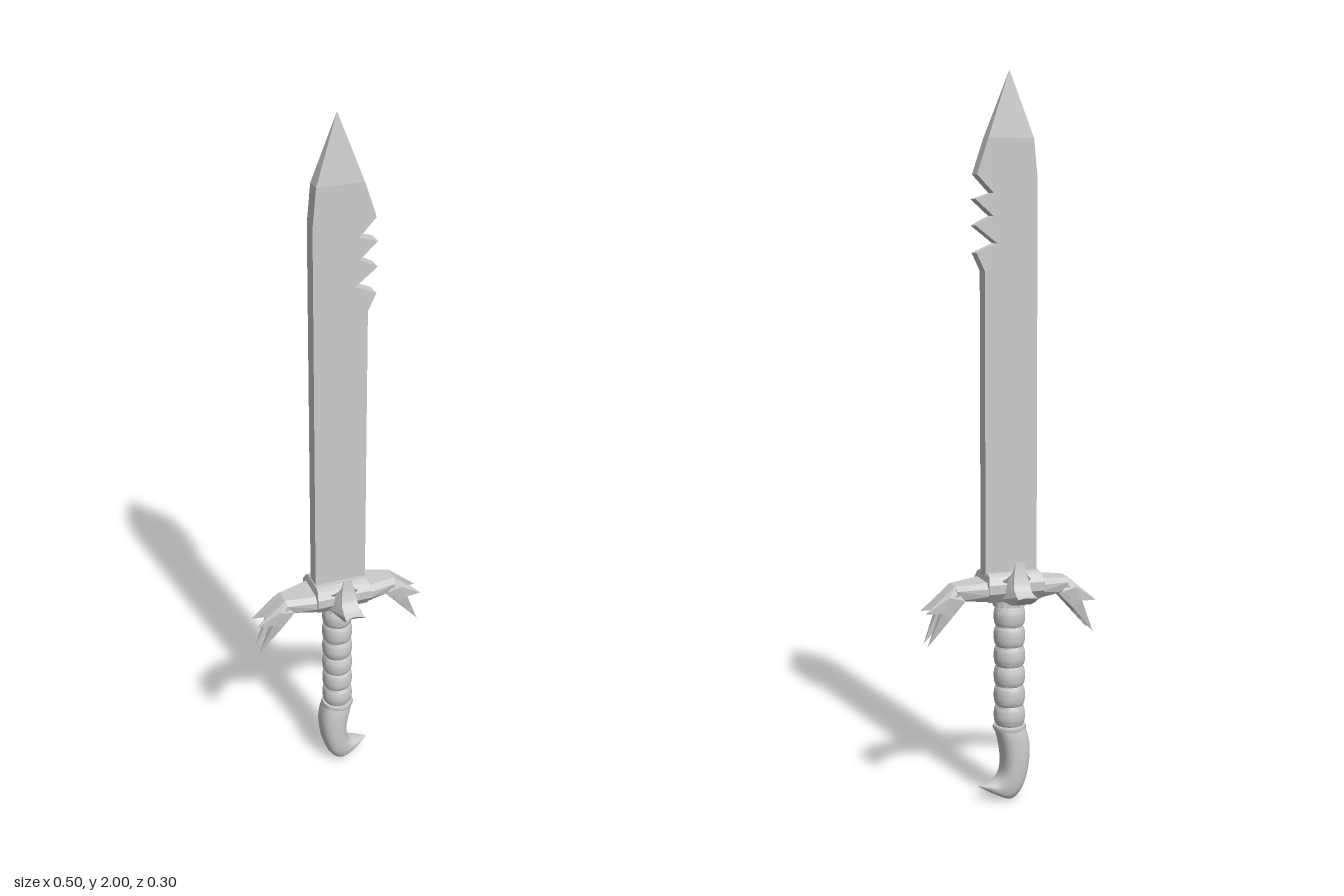
import * as THREE from 'three';
import { toCreasedNormals } from 'three/addons/utils/BufferGeometryUtils.js';
import { ConvexGeometry } from 'three/addons/geometries/ConvexGeometry.js';

const grey = new THREE.MeshStandardMaterial({ color: 0xcccccc });
const V = (x, y, z) => new THREE.Vector3(x, y, z);

function add(parent, name, geometry) {
  const mesh = new THREE.Mesh(geometry, grey);
  mesh.name = name;
  parent.add(mesh);
  return mesh;
}

// Skin over closed rings of points; the last ring may shrink to a tip
function loft(rings) {
  const n = rings[0].length, index = [];
  for (let i = 0; i < rings.length - 1; i++) {
    for (let j = 0; j < n; j++) {
      const a = i * n + j, b = i * n + (j + 1) % n;
      index.push(a, b, a + n, b, b + n, a + n);
    }
  }
  const geo = new THREE.BufferGeometry().setFromPoints(rings.flat());
  geo.setIndex(index);
  geo.computeVertexNormals();
  return geo;
}

function bladeBody() {
  const outline = [
    [-0.072, 0.6], [0.077, 0.6], [0.077, 1.475], [0.1, 1.523], [0.042, 1.548],
    [0.103, 1.595], [0.053, 1.62], [0.103, 1.664], [0.052, 1.68], [0.098, 1.728],
    [0.066, 1.823], [-0.062, 1.823], [-0.072, 1.72],
  ].map(([x, y]) => new THREE.Vector2(x, y));
  const geo = new THREE.ExtrudeGeometry(new THREE.Shape(outline), { depth: 0.042, bevelEnabled: false });
  return geo.translate(0, 0, -0.022);
}

// Forked horn, drawn in the z-y plane and swept across x
function hornGeometry() {
  const s = new THREE.Shape();
  s.moveTo(0.03, 0.582);
  s.lineTo(0.075, 0.577);
  s.quadraticCurveTo(0.11, 0.575, 0.15, 0.607);
  s.quadraticCurveTo(0.105, 0.61, 0.098, 0.637);
  s.quadraticCurveTo(0.088, 0.66, 0.084, 0.695);
  s.quadraticCurveTo(0.08, 0.65, 0.055, 0.637);
  s.lineTo(0.03, 0.637);
  const geo = new THREE.ExtrudeGeometry(s, { depth: 2, steps: 8, curveSegments: 6, bevelEnabled: false });
  geo.translate(0, 0, -1).rotateY(-Math.PI / 2);
  const p = geo.attributes.position;
  for (let i = 0; i < p.count; i++) {
    const u = p.getX(i), y = p.getY(i), z = p.getZ(i);
    const up = THREE.MathUtils.smoothstep(y, 0.62, 0.695);
    const root = 1 - THREE.MathUtils.smoothstep(z, 0.055, 0.085);
    const end = THREE.MathUtils.smoothstep(z, 0.11, 0.15);
    const half = 0.024 + 0.02 * root + 0.004 * end - 0.011 * up;
    p.setXYZ(i, u * half, y, z - 0.012 * end * (1 - u * u));
  }
  geo.computeVertexNormals();
  return toCreasedNormals(geo, 0.7);
}

// Points mirrored in z
const pair = (x, y, z) => [V(x, y, z), V(x, y, -z)];

function addGuard(parent) {
  const guard = new THREE.Group();
  guard.name = 'guard';
  parent.add(guard);

  // Central block with chamfered shoulders
  const block = [-1, 1].flatMap((s) => [
    ...pair(s * 0.074, 0.656, 0.035), ...pair(s * 0.076, 0.65, 0.05),
    ...pair(s * 0.08, 0.63, 0.064), ...pair(s * 0.08, 0.605, 0.064),
    ...pair(s * 0.075, 0.578, 0.045),
  ]);
  add(guard, 'guardBlock', new ConvexGeometry(block));

  for (const s of [1, -1]) {
    const side = s > 0 ? 'left' : 'right';
    // Tapering arm
    add(guard, side + 'Arm', new ConvexGeometry([
      ...pair(s * 0.07, 0.635, 0.045), ...pair(s * 0.07, 0.62, 0.06),
      ...pair(s * 0.07, 0.6, 0.06), ...pair(s * 0.07, 0.58, 0.045),
      ...pair(s * 0.165, 0.627, 0.022), ...pair(s * 0.163, 0.615, 0.037),
      ...pair(s * 0.142, 0.59, 0.037), ...pair(s * 0.135, 0.584, 0.025),
    ]));
    // Four claws: an upper and a lower one on each face
    for (const f of [1, -1]) {
      const across = (x, y, z0, z1) => [V(s * x, y, f * z0), V(s * x, y, f * z1)];
      add(guard, side + 'UpperClaw', new ConvexGeometry([
        ...across(0.165, 0.627, 0, 0.024), ...across(0.185, 0.6, 0.01, 0.038),
        ...across(0.14, 0.588, 0, 0.036), ...across(0.2, 0.558, 0.012, 0.034),
        V(s * 0.25, 0.555, f * 0.024),
      ]));
      add(guard, side + 'LowerClaw', new ConvexGeometry([
        ...across(0.135, 0.585, 0, 0.026), ...across(0.16, 0.61, 0, 0.036),
        ...across(0.205, 0.557, 0.008, 0.034), ...across(0.175, 0.543, 0.004, 0.03),
        V(s * 0.243, 0.463, f * 0.019),
      ]));
    }
  }

  // Horns on the front and back
  const horn = hornGeometry();
  add(guard, 'frontHorn', horn);
  add(guard, 'backHorn', horn).rotation.y = Math.PI;
}

// Ribbed grip with a collar above and a ring below
function gripGeometry() {
  const pts = [[0.001, 0.2], [0.044, 0.2], [0.047, 0.207], [0.044, 0.215]];
  const ribs = 6, y0 = 0.215, y1 = 0.555;
  for (let i = 0; i <= ribs * 8; i++) {
    const t = i / 8;
    pts.push([0.037 + 0.007 * Math.sqrt(Math.abs(Math.sin(Math.PI * t))), y0 + (y1 - y0) * t / ribs]);
  }
  pts.push([0.046, 0.557], [0.046, 0.585], [0.001, 0.585]);
  const geo = new THREE.LatheGeometry(pts.map(([r, y]) => new THREE.Vector2(r, y)), 32);
  return toCreasedNormals(geo, 0.9);
}

// Hooked pommel: each section runs from its outer to its inner edge, with a half depth
function pommelGeometry() {
  const sections = [
    [-0.043, 0.21, 0.043, 0.21, 0.043], [-0.051, 0.18, 0.036, 0.185, 0.047],
    [-0.055, 0.15, 0.029, 0.155, 0.048], [-0.053, 0.11, 0.024, 0.12, 0.048],
    [-0.046, 0.07, 0.025, 0.088, 0.047], [-0.028, 0.025, 0.033, 0.067, 0.043],
    [0, 0, 0.045, 0.056, 0.036], [0.045, 0.016, 0.066, 0.049, 0.024],
    [0.094, 0.044, 0.094, 0.044, 0],
  ];
  const curves = [0, 2].map((k) => new THREE.CatmullRomCurve3(sections.map((s) => V(s[k], s[k + 1], s[4]))));
  const rings = [];
  for (let i = 0; i <= 32; i++) {
    const a = curves[0].getPoint(i / 32), b = curves[1].getPoint(i / 32);
    const ring = [];
    for (let j = 0; j < 28; j++) {
      const t = j / 28 * Math.PI * 2, c = Math.cos(t), s = Math.sin(t);
      const q = 0.5 + 0.5 * Math.sign(c) * Math.abs(c) ** 0.8;
      const p = a.clone().lerp(b, q);
      p.z = a.z * Math.sign(s) * Math.abs(s) ** 0.8;
      ring.push(p);
    }
    rings.push(ring);
  }
  return loft(rings);
}

export function createModel() {
  const model = new THREE.Group();
  model.name = 'sword';
  add(model, 'blade', bladeBody());
  add(model, 'bladeTip', new ConvexGeometry([
    V(0.066, 1.823, 0.02), V(0.066, 1.823, -0.022),
    V(-0.062, 1.823, 0.02), V(-0.062, 1.823, -0.022), V(0, 2, -0.001),
  ]));
  addGuard(model);
  add(model, 'grip', gripGeometry());
  add(model, 'pommel', pommelGeometry());
  return model;
}
